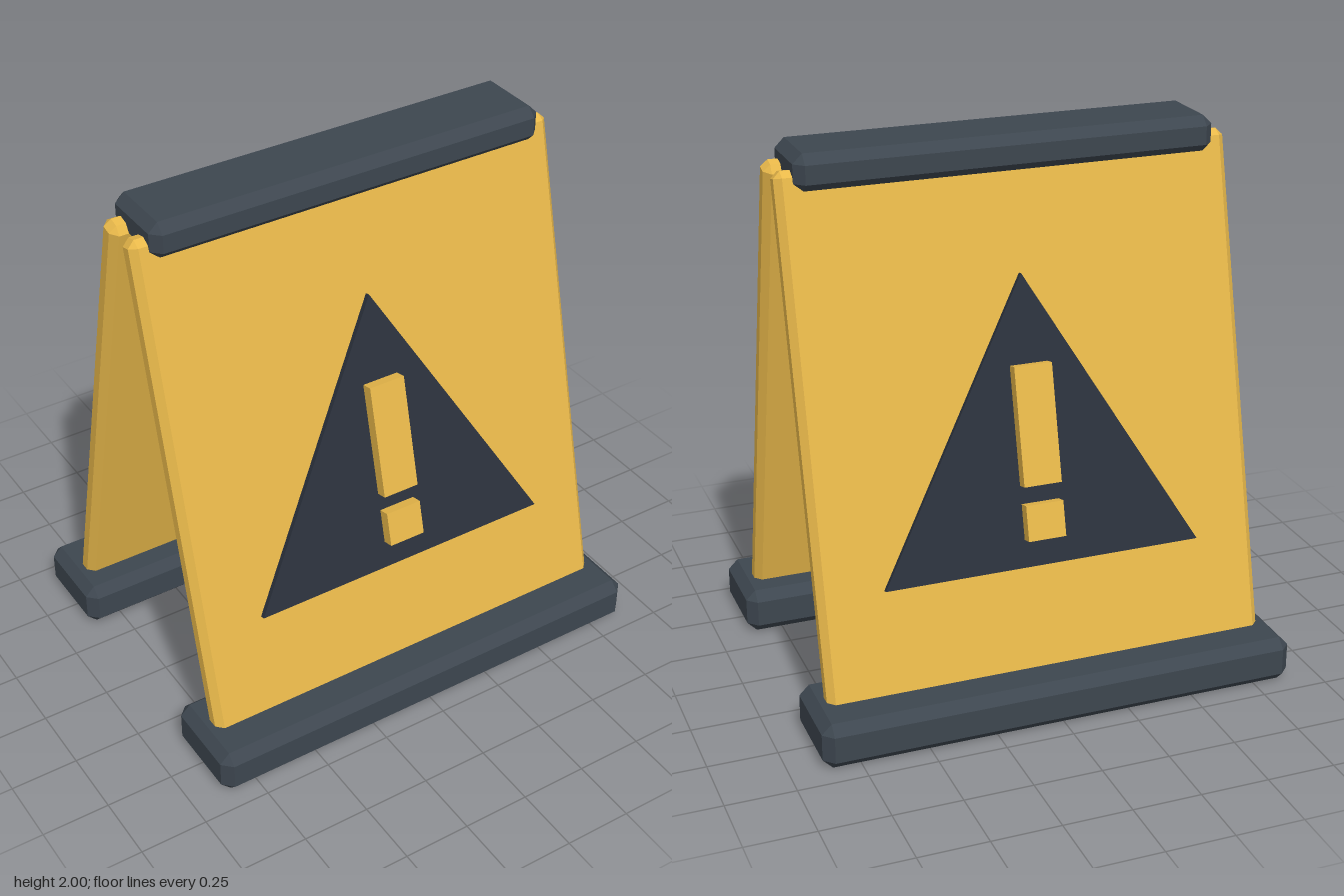
import * as THREE from 'three';
import { ConvexGeometry } from 'three/addons/geometries/ConvexGeometry.js';

const material = (color) => new THREE.MeshStandardMaterial({ color, flatShading: true });

// Box with every edge and corner cut off by c
function chamferBox(w, h, d, c) {
  const points = [];
  for (const x of [-1, 1]) for (const y of [-1, 1]) for (const z of [-1, 1]) {
    for (let axis = 0; axis < 3; axis++) {
      const cut = [c, c, c];
      cut[axis] = 0;
      points.push(new THREE.Vector3(x * (w / 2 - cut[0]), y * (h / 2 - cut[1]), z * (d / 2 - cut[2])));
    }
  }
  return new ConvexGeometry(points);
}

function addMesh(parent, name, geometry, mat, x, y, z) {
  const mesh = new THREE.Mesh(geometry, mat);
  mesh.name = name;
  mesh.position.set(x, y, z);
  parent.add(mesh);
  return mesh;
}

export function createModel() {
  const model = new THREE.Group();
  model.name = 'warningBoard';
  const yellow = material(0xe8b84a);
  const rubber = material(0x3d464f);
  const dark = material(0x2b313c);

  const thickness = 0.087, length = 1.89, face = thickness / 2;

  // Warning triangle plate
  const triangle = new THREE.Shape([
    new THREE.Vector2(-0.59, 0.43),
    new THREE.Vector2(0.59, 0.43),
    new THREE.Vector2(0, 1.463),
  ]);
  const triangleGeometry = new THREE.ExtrudeGeometry(triangle, { depth: 0.02, bevelEnabled: false });

  // One half of the board, facing +z
  function makeSide(name) {
    const side = new THREE.Group();
    side.name = name;
    addMesh(side, 'foot', chamferBox(1.77, 0.17, 0.353, 0.036), rubber, 0, 0.085, 0.517);

    const leaf = new THREE.Group();
    leaf.name = 'leaningPanel';
    leaf.position.set(0, 0.1, 0.517);
    leaf.rotation.x = THREE.MathUtils.degToRad(-14);
    side.add(leaf);
    addMesh(leaf, 'panel', chamferBox(1.65, length, thickness, 0.025), yellow, 0, length / 2, 0);
    addMesh(leaf, 'warningTriangle', triangleGeometry, dark, 0, 0, face);

    // Raised exclamation mark: [name, bottom, top]
    for (const [part, bottom, top] of [['markBar', 0.724, 1.148], ['markDot', 0.53, 0.658]]) {
      addMesh(leaf, part, new THREE.BoxGeometry(0.14, top - bottom, 0.064), yellow,
        0, (bottom + top) / 2, face + 0.032);
    }
    return side;
  }

  const front = makeSide('frontSide');
  const back = makeSide('backSide');
  back.rotation.y = Math.PI;
  model.add(front, back);

  // Ridge cap joining both panels
  addMesh(model, 'topCap', chamferBox(1.53, 0.135, 0.294, 0.034), rubber, 0, 1.9325, 0);
  return model;
}
